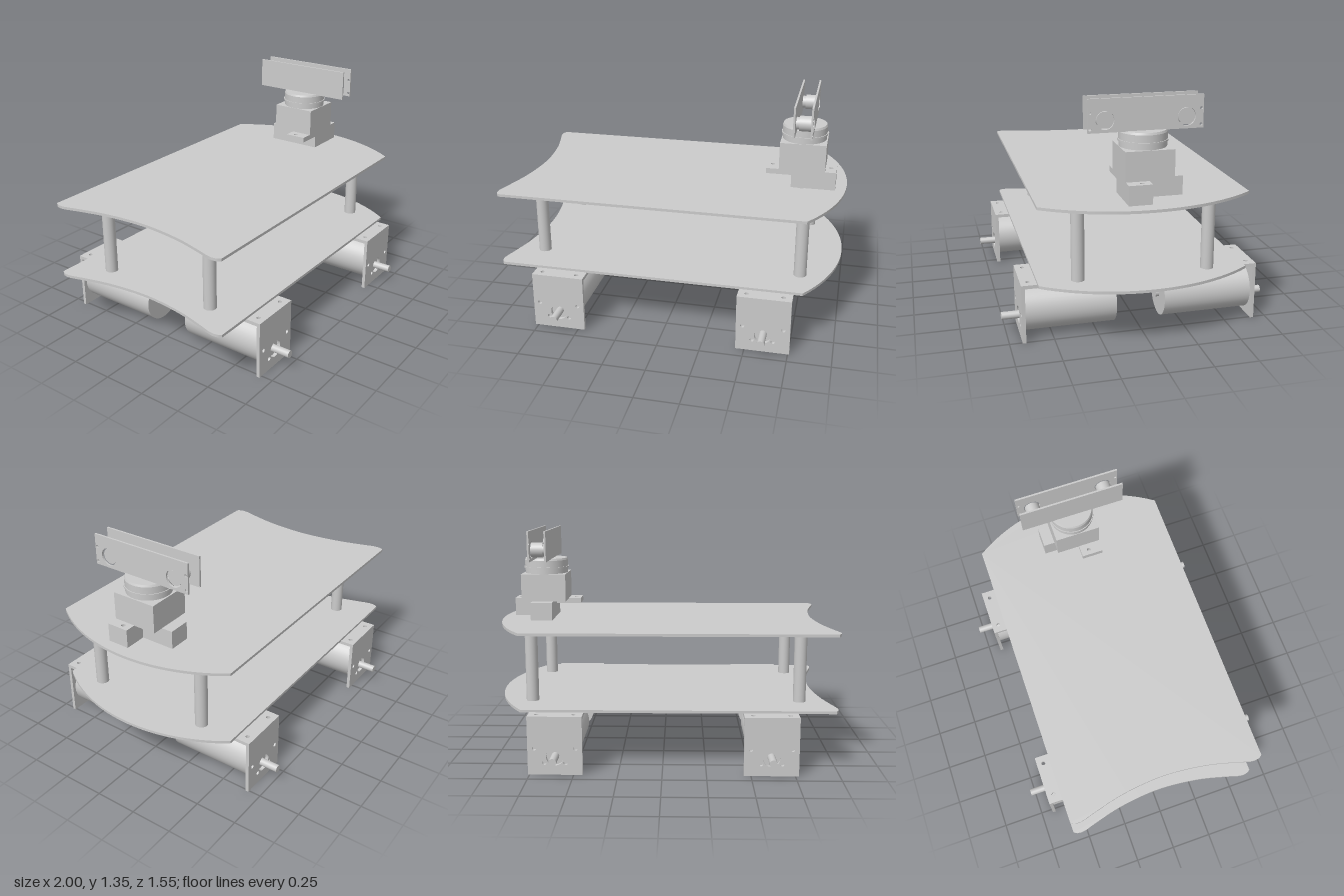
import * as THREE from 'three';

const material = new THREE.MeshStandardMaterial({ color: 0xcccccc });

function add(parent, name, geometry, x = 0, y = 0, z = 0) {
  const mesh = new THREE.Mesh(geometry, material);
  mesh.name = name;
  mesh.position.set(x, y, z);
  parent.add(mesh);
  return mesh;
}

// Box given by its limits on each axis
function box(parent, name, [x0, x1], [y0, y1], [z0, z1]) {
  return add(parent, name, new THREE.BoxGeometry(x1 - x0, y1 - y0, z1 - z0),
    (x0 + x1) / 2, (y0 + y1) / 2, (z0 + z1) / 2);
}

// Cylinder running from a to b along one axis
function rod(axis, r, a, b, sides = 32) {
  const g = new THREE.CylinderGeometry(r, r, b - a, sides).translate(0, (a + b) / 2, 0);
  if (axis === 'x') g.rotateZ(-Math.PI / 2);
  if (axis === 'z') g.rotateX(Math.PI / 2);
  return g;
}

// Rectangular plate with round holes [x, y, radius], extruded along +z
function plate(x0, x1, y0, y1, depth, holes) {
  const s = new THREE.Shape();
  s.moveTo(x0, y0).lineTo(x1, y0).lineTo(x1, y1).lineTo(x0, y1).closePath();
  for (const [x, y, r] of holes) {
    s.holes.push(new THREE.Path().absarc(x, y, r, 0, Math.PI * 2, true));
  }
  return new THREE.ExtrudeGeometry(s, { depth, bevelEnabled: false, curveSegments: 16 });
}

// Deck outline: bowed nose, straight sides, hollowed tail
function deckGeometry() {
  const s = new THREE.Shape();
  const R = 1.01, a = Math.asin(0.59 / R);
  s.moveTo(-0.985, -0.59);
  s.lineTo(0.81, -0.59);
  s.absarc(1 - R, 0, R, -a, a, false);
  s.lineTo(-0.985, 0.59);
  const tail = [[-0.999, 0.565], [-1, 0.52], [-0.975, 0.43], [-0.94, 0.29], [-0.918, 0.14], [-0.91, 0]];
  const back = tail.slice(0, -1).reverse().map(([x, z]) => [x, -z]);
  s.splineThru([...tail, ...back, [-0.985, -0.59]].map(p => new THREE.Vector2(...p)));
  return new THREE.ExtrudeGeometry(s, { depth: 0.016, bevelEnabled: false, curveSegments: 36 })
    .rotateX(Math.PI / 2);
}

// Gear motor on an L bracket, shaft pointing to +z
function motorUnit() {
  const g = new THREE.Group();
  g.name = 'motorUnit';
  const face = [[0, 0.105, 0.05]];
  for (const s of [-1, 1]) face.push([s * 0.117, 0.155, 0.012], [s * 0.06, 0.07, 0.012]);
  add(g, 'bracketFace', plate(-0.155, 0.155, 0, 0.34, 0.02, face), 0, 0, 0.658);
  const flange = plate(-0.155, 0.155, 0.475, 0.658, 0.02,
    [[-0.105, 0.635, 0.012], [0.105, 0.635, 0.012]]).rotateX(Math.PI / 2);
  add(g, 'bracketFlange', flange, 0, 0.34, 0);
  add(g, 'motorCan', rod('z', 0.135, 0.14, 0.658, 40), 0, 0.155, 0);
  add(g, 'motorRearCap', rod('z', 0.028, 0.12, 0.14, 24), 0, 0.155, 0);
  add(g, 'motorShaft', rod('z', 0.022, 0.65, 0.775, 24), 0, 0.105, 0);
  return g;
}

// Pan servo with stepped base and ears
function servo() {
  const g = new THREE.Group();
  g.name = 'panServo';
  box(g, 'servoFoot', [0.715, 0.75], [0.796, 0.805], [-0.12, 0.12]);
  box(g, 'servoBase', [0.675, 0.805], [0.803, 0.91], [-0.205, 0]);
  box(g, 'servoBase', [0.675, 0.87], [0.803, 0.91], [0, 0.13]);
  const ear = (x0, x1, hx, depth) => add(g, 'servoEar',
    plate(x0, x1, 0, 0.13, depth, [[hx, 0.05, 0.012]]).rotateX(Math.PI / 2), 0, 0.912, 0);
  ear(0.525, 0.675, 0.557, 0.032);
  ear(0.87, 0.935, 0.903, 0.109);
  box(g, 'servoBody', [0.6, 0.87], [0.91, 1.075], [-0.138, 0.133]);
  return g;
}

// Turntable and twin-eye range sensor
function sensorHead() {
  const g = new THREE.Group();
  g.name = 'sensorHead';
  const lathe = [[0, 1.075], [0.13, 1.075], [0.13, 1.105], [0.137, 1.105], [0.137, 1.115],
    [0.132, 1.115], [0.132, 1.155], [0.127, 1.167], [0, 1.167]];
  // Each straight run is turned separately so its edges stay crisp
  for (let i = 0; i < lathe.length - 1; i++) {
    const pts = [lathe[i], lathe[i + 1]].map(p => new THREE.Vector2(...p));
    add(g, 'turntable', new THREE.LatheGeometry(pts, 48), 0.733, 0, 0);
  }
  const corners = [], eyes = [];
  for (const s of [-1, 1]) {
    corners.push([s * 0.302, 1.272, 0.008], [s * 0.302, 1.185, 0.008]);
    eyes.push([s * 0.222, 1.23, 0.05]);
    add(g, 'sensorEyeStem', rod('x', 0.036, 0.695, 0.716), 0, 1.23, s * 0.222);
    add(g, 'sensorEye', rod('x', 0.044, 0.715, 0.784), 0, 1.23, s * 0.222);
  }
  const board = holes => plate(-0.315, 0.315, 1.165, 1.345, 0.011, holes).rotateY(Math.PI / 2);
  add(g, 'sensorRearPlate', board([]), 0.685, 0, 0);
  add(g, 'sensorFrontPlate', board([...corners, ...eyes]), 0.784, 0, 0);
  return g;
}

export function createModel() {
  const model = new THREE.Group();
  model.name = 'wheeledRobotChassis';

  add(model, 'lowerDeck', deckGeometry(), 0, 0.354, 0);
  add(model, 'upperDeck', deckGeometry(), 0, 0.796, 0);

  // Spacer posts
  for (const x of [-0.803, 0.775]) {
    for (const z of [-0.37, 0.37]) add(model, 'spacerPost', rod('y', 0.037, 0.353, 0.781, 28), x, 0, z);
  }

  // Four motors, mirrored to both sides
  for (const x of [-0.615, 0.604]) {
    for (const turn of [0, Math.PI]) {
      const unit = motorUnit();
      unit.position.x = x;
      unit.rotation.y = turn;
      model.add(unit);
    }
  }

  model.add(servo(), sensorHead());
  return model;
}
